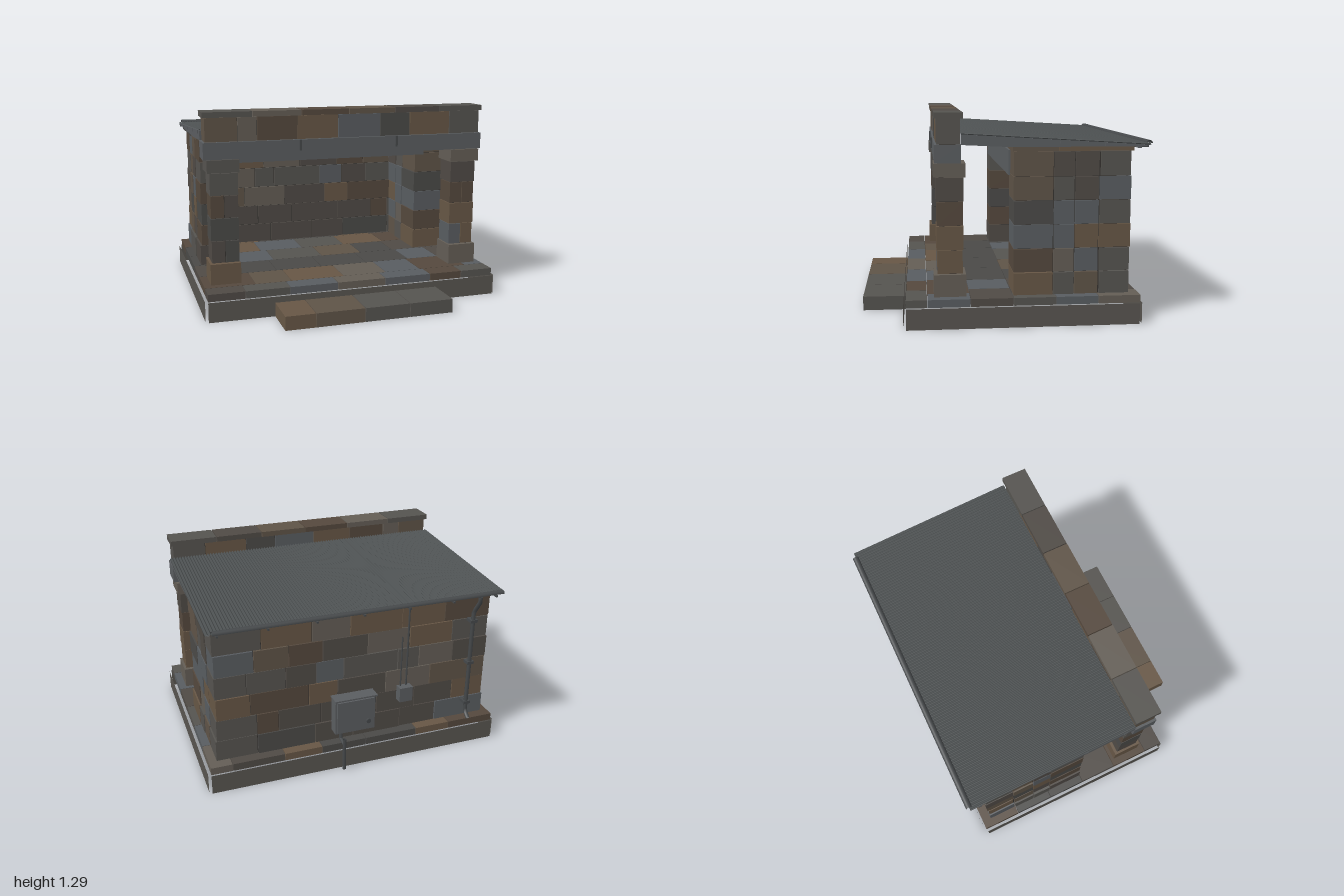
import * as THREE from 'three';

const mat = (color) => new THREE.MeshStandardMaterial({ color, side: THREE.DoubleSide });
const STONES = [0x5e5347, 0x55534f, 0x4a4947, 0x665645, 0x585c60, 0x54483d, 0x635d55, 0x4f4a45].map(mat);
const MORTAR = mat(0x35322f);
const STEEL = mat(0x5a5d60);
const SHEET = mat(0x4c5051);
const PIPE = mat(0x45484a);
const FOOTING = mat(0x57544f);

let seed = 7;
const rand = () => (seed = (seed * 16807) % 2147483647) / 2147483647;

function add(parent, name, geometry, material, x = 0, y = 0, z = 0) {
  const mesh = new THREE.Mesh(geometry, material);
  mesh.name = name;
  mesh.position.set(x, y, z);
  parent.add(mesh);
  return mesh;
}

// Box given by its limits on each axis
function block(parent, name, material, [x0, x1], [y0, y1], [z0, z1], openBottom = false) {
  const g = new THREE.BoxGeometry(x1 - x0, y1 - y0, z1 - z0);
  if (openBottom) {
    const idx = Array.from(g.index.array);
    idx.splice(18, 6);
    g.setIndex(idx);
    g.clearGroups();
  }
  return add(parent, name, g, material, (x0 + x1) / 2, (y0 + y1) / 2, (z0 + z1) / 2);
}

const stone = () => STONES[Math.floor(rand() * STONES.length)];

// Row of stones along 'x' or 'z', split at the given cuts
function course(parent, name, axis, cuts, y, across, { gap = 0.003, wobble = 0.004, open = false } = {}) {
  for (let i = 0; i < cuts.length - 1; i++) {
    const j = (rand() - 0.5) * 2 * wobble;
    const along = [cuts[i] + gap, cuts[i + 1] - gap];
    const side = [across[0] - j, across[1] + j];
    const h = [y[0] + (open ? 0 : 0.002), y[1] - (open ? 0 : 0.002)];
    block(parent, name, stone(), axis === 'x' ? along : side, h, axis === 'x' ? side : along, open);
  }
}

function tube(parent, name, points, radius) {
  const path = new THREE.CurvePath();
  const v = points.map((p) => new THREE.Vector3(...p));
  for (let i = 0; i < v.length - 1; i++) path.add(new THREE.LineCurve3(v[i], v[i + 1]));
  add(parent, name, new THREE.TubeGeometry(path, 24, radius, 8), PIPE);
}

const group = (parent, name) => {
  const g = new THREE.Group();
  g.name = name;
  parent.add(g);
  return g;
};

const LEVELS = [0.18, 0.32, 0.465, 0.613, 0.76, 0.905, 1.057];

function buildBase(root) {
  const base = group(root, 'base');
  // Thin footing skirt, standing slightly clear of the paving
  for (const s of [1, -1]) {
    add(base, 'footingSide', new THREE.PlaneGeometry(1.42, 0.13), FOOTING, s * 0.997, 0.065, -0.107).rotation.y = s * Math.PI / 2;
  }
  add(base, 'footingFront', new THREE.PlaneGeometry(1.96, 0.13), FOOTING, 0, 0.065, 0.62);
  add(base, 'footingBack', new THREE.PlaneGeometry(1.96, 0.13), FOOTING, 0, 0.065, -0.835).rotation.y = Math.PI;

  // Paving slabs, hollow from below
  const rows = [0.605, 0.475, 0.215, -0.045, -0.305, -0.565, -0.825];
  const even = [-0.98, -0.74, -0.45, -0.13, 0.2, 0.52, 0.75, 0.98];
  const odd = [-0.98, -0.65, -0.41, -0.05, 0.25, 0.5, 0.84, 0.98];
  for (let i = 0; i < rows.length - 1; i++) {
    course(base, 'pavingSlab', 'x', i % 2 ? odd : even, [0.13, 0.178], [rows[i + 1] + 0.002, rows[i] - 0.002],
      { gap: 0.002, wobble: 0, open: true });
  }
  course(base, 'frontStep', 'x', [-0.558, -0.36, -0.04, 0.26, 0.555], [0, 0.09], [0.612, 0.885],
    { gap: 0.002, wobble: 0, open: true });
}

function buildWalls(root) {
  const walls = group(root, 'walls');
  const backCuts = [
    [-0.57, -0.31, 0.02, 0.28, 0.66], [-0.69, -0.41, -0.14, 0.24, 0.52, 0.66],
    [-0.515, -0.2, 0.13, 0.32, 0.7], [-0.67, -0.43, -0.28, 0.09, 0.27, 0.47, 0.72],
    [-0.66, -0.36, -0.07, 0.23, 0.45, 0.67], [-0.6, -0.3, 0.05, 0.3, 0.62],
  ];
  block(walls, 'backWallCore', MORTAR, [-0.905, 0.905], [0.18, 1.05], [-0.75, -0.585]);
  for (const s of [1, -1]) {
    block(walls, 'sideWallCore', MORTAR, s > 0 ? [0.685, 0.905] : [-0.905, -0.685], [0.18, 1.05], [-0.6, -0.06]);
  }
  backCuts.forEach((cuts, i) => {
    const y = [LEVELS[i], LEVELS[i + 1]];
    const end = i === 0 ? 0.93 : 0.917 + (i % 2) * 0.004;
    course(walls, 'backWallStone', 'x', [-end, ...cuts, end], y, [-0.763, -0.573]);
    for (const s of [1, -1]) {
      const across = s > 0 ? [0.67, end] : [-end, -0.67];
      course(walls, 'sideWallStone', 'z', [-0.568, -0.42, -0.29, -0.045], y, across);
    }
  });
  // Flat capping stones on the wall heads
  for (const s of [1, -1]) {
    course(walls, 'wallCap', 'z', [-0.775, -0.315, -0.035], [1.057, 1.092], s > 0 ? [0.66, 0.94] : [-0.94, -0.66]);
  }
  course(walls, 'backWallCap', 'x', [-0.66, -0.33, 0, 0.33, 0.66], [1.057, 1.088], [-0.775, -0.56]);
  block(walls, 'openingLintel', STEEL, [-0.735, 0.735], [0.893, 1.05], [-0.2, -0.038]);
}

function buildFront(root) {
  const front = group(root, 'frontColonnade');
  for (const s of [1, -1]) {
    const span = (a, b) => (s > 0 ? [a, b] : [-b, -a]);
    block(front, 'pillarCore', MORTAR, span(0.75, 0.905), [0.18, 0.95], [0.27, 0.4]);
    for (let i = 0; i < 5; i++) {
      const y = [LEVELS[i], LEVELS[i + 1]];
      if (i === 0) course(front, 'pillarBase', 'x', span(0.735, 0.932), y, [0.243, 0.43], { gap: 0 });
      else if (i % 2) {
        const cuts = span(0.738, 0.92);
        course(front, 'pillarStone', 'x', [cuts[0], s * 0.83, cuts[1]], y, [0.258, 0.412]);
      } else course(front, 'pillarStone', 'x', span(0.74, 0.92), y, [0.254, 0.416], { gap: 0 });
    }
    block(front, 'pillarCapital', stone(), span(0.73, 0.937), [0.908, 0.99], [0.24, 0.432]);
    block(front, 'beamHook', PIPE, [s * 0.33 - 0.007, s * 0.33 + 0.007], [1.03, 1.1], [0.42, 0.435]);
  }
  block(front, 'frontBeam', STEEL, [-0.957, 0.953], [0.992, 1.1], [0.268, 0.425]);
  block(front, 'parapetCore', MORTAR, [-0.93, 0.93], [1.1, 1.25], [0.285, 0.395]);
  course(front, 'parapetStone', 'x', [-0.945, -0.735, -0.61, -0.345, -0.07, 0.22, 0.43, 0.72, 0.943], [1.1, 1.255], [0.272, 0.412]);
  course(front, 'copingStone', 'x', [-0.96, -0.64, -0.32, 0, 0.32, 0.64, 0.957], [1.253, 1.292], [0.255, 0.427], { wobble: 0.001 });
}

function buildRoof(root) {
  const roof = group(root, 'roof');
  const z0 = 0.27, z1 = -0.865, y0 = 1.168, y1 = 1.1;
  const topAt = (z) => y1 + (y0 - y1) * (z - z1) / (z0 - z1);

  // Corrugated sheet: a plane pushed into waves along x
  const sheet = new THREE.PlaneGeometry(1.93, z0 - z1, 800, 1).rotateX(-Math.PI / 2);
  const p = sheet.attributes.position;
  for (let i = 0; i < p.count; i++) {
    const z = p.getZ(i) + (z0 + z1) / 2;
    p.setZ(i, z);
    p.setY(i, topAt(z) + 0.005 * Math.sin(p.getX(i) / 1.93 * Math.PI * 200));
  }
  sheet.computeVertexNormals();
  add(roof, 'corrugatedSheet', sheet, SHEET, 0.005);

  // Tapered verge boards closing both ends
  const verge = new THREE.Shape([[z0, 1.1], [z0, y0 - 0.006], [z1, y1 - 0.006], [z1 + 0.03, 1.085], [-0.04, 1.085]]
    .map(([z, y]) => new THREE.Vector2(-z, y)));
  const vergeGeo = new THREE.ExtrudeGeometry(verge, { depth: 0.015, bevelEnabled: false }).rotateY(Math.PI / 2);
  for (const x of [-0.955, 0.94]) add(roof, 'vergeBoard', vergeGeo, STEEL, x);

  // Purlins below the sheet
  for (const z of [0.2, -0.07, -0.33, -0.6, -0.8]) {
    const t = topAt(z) - 0.006;
    block(roof, 'purlin', STEEL, [-0.96, 0.96], [t - 0.022, t], [z - 0.012, z + 0.012]);
  }

  // Half-round gutter with brackets
  const gutter = new THREE.CylinderGeometry(0.02, 0.02, 1.87, 10, 1, true, 0, Math.PI).rotateZ(Math.PI / 2);
  gutter.rotateX(Math.PI / 2);
  gutter.computeBoundingBox();
  if (gutter.boundingBox.max.y > 0.01) gutter.rotateX(Math.PI);
  if (gutter.boundingBox.max.z - gutter.boundingBox.min.z < 0.03) gutter.rotateX(Math.PI / 2);
  add(roof, 'gutter', gutter, PIPE, -0.005, 1.1, -0.866);
  for (let x = -0.9; x < 0.95; x += 0.3) block(roof, 'gutterBracket', PIPE, [x - 0.006, x + 0.006], [1.075, 1.087], [-0.87, -0.76]);
}

function buildServices(root) {
  const services = group(root, 'rearServices');
  // Downpipe with offset at the top and a kicked-out foot
  const dx = -0.785;
  tube(services, 'downpipe', [[dx, 1.09, -0.866], [dx, 1.055, -0.866], [dx, 0.96, -0.8], [dx, 0.23, -0.8], [dx, 0.195, -0.845]], 0.014);
  for (const y of [0.3, 0.6, 0.9]) block(services, 'pipeClip', PIPE, [dx - 0.024, dx + 0.024], [y - 0.01, y + 0.01], [-0.818, -0.76]);

  // Main cabinet with door, lock and conduit
  block(services, 'cabinet', STEEL, [-0.1, 0.17], [0.26, 0.5], [-0.838, -0.76]);
  block(services, 'cabinetDoor', STEEL, [-0.09, 0.16], [0.27, 0.49], [-0.85, -0.838]);
  block(services, 'cabinetHood', STEEL, [-0.108, 0.178], [0.5, 0.51], [-0.855, -0.76]);
  add(services, 'cabinetLock', new THREE.CylinderGeometry(0.016, 0.016, 0.012, 10).rotateX(Math.PI / 2), PIPE, -0.05, 0.33, -0.856);
  tube(services, 'cabinetConduit', [[0.12, 0.27, -0.8], [0.12, 0.205, -0.81], [0.12, 0.195, -0.873]], 0.012);
  tube(services, 'groundConduit', [[0.12, 0.235, -0.873], [0.12, 0.012, -0.873]], 0.012);

  // Small junction box and its cables
  block(services, 'junctionBox', STEEL, [-0.37, -0.28], [0.4, 0.5], [-0.82, -0.76]);
  tube(services, 'boxCable', [[-0.34, 0.5, -0.778], [-0.34, 1.06, -0.778]], 0.006);
  tube(services, 'boxCableShort', [[-0.3, 0.5, -0.778], [-0.3, 0.85, -0.778]], 0.005);
}

export function createModel() {
  seed = 7;
  const model = new THREE.Group();
  model.name = 'stoneShelter';
  buildBase(model);
  buildWalls(model);
  buildFront(model);
  buildRoof(model);
  buildServices(model);
  return model;
}
